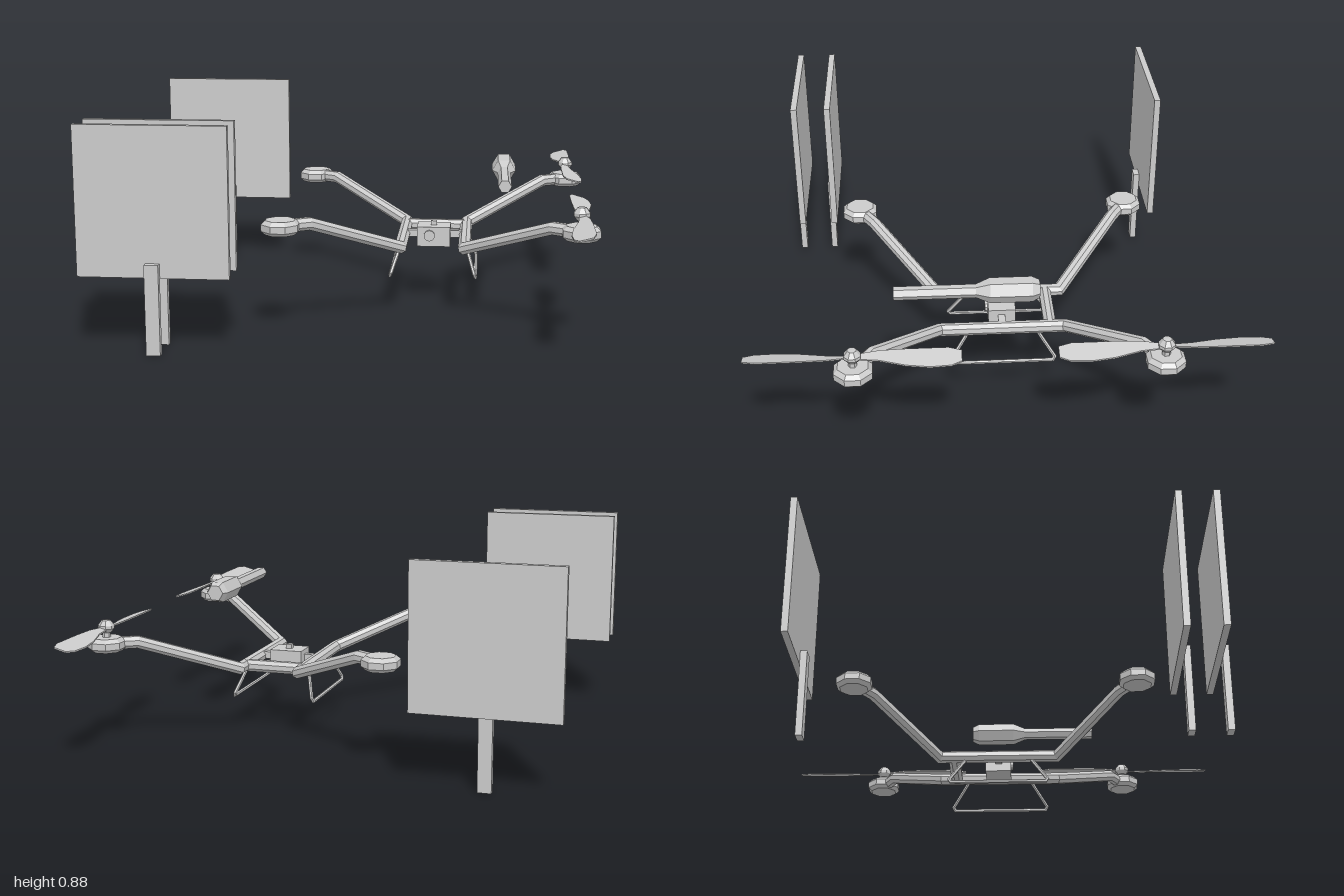
import * as THREE from 'three';

const material = new THREE.MeshStandardMaterial({ color: 0xcccccc, flatShading: true, side: THREE.DoubleSide });

function add(parent, name, geometry, x = 0, y = 0, z = 0) {
  const mesh = new THREE.Mesh(geometry, material);
  mesh.name = name;
  mesh.position.set(x, y, z);
  parent.add(mesh);
  return mesh;
}

const box = (w, h, d) => new THREE.BoxGeometry(w, h, d);

// Sweep a regular polygon along straight segments, with mitred corners
function sweep(points, radius, sides) {
  const path = points.map(p => new THREE.Vector3(...p));
  const dirs = path.slice(1).map((p, i) => p.clone().sub(path[i]).normalize());
  const u = new THREE.Vector3(0, 1, 0).cross(dirs[0]).normalize();
  const v = dirs[0].clone().cross(u);
  let ring = [];
  for (let k = 0; k < sides; k++) {
    const a = (k + 0.5) / sides * Math.PI * 2;
    ring.push(path[0].clone().addScaledVector(u, radius * Math.cos(a)).addScaledVector(v, radius * Math.sin(a)));
  }
  const positions = [], index = [];
  path.forEach((p, i) => {
    if (i > 0) {
      // slide the ring forward onto the bisecting plane of the corner
      const d = dirs[i - 1];
      const n = d.clone().add(dirs[i] ?? d).normalize();
      ring = ring.map(q => q.clone().addScaledVector(d, p.clone().sub(q).dot(n) / d.dot(n)));
    }
    ring.forEach(q => positions.push(q.x, q.y, q.z));
  });
  for (let i = 0; i < path.length - 1; i++) {
    for (let k = 0; k < sides; k++) {
      const a = i * sides + k, b = i * sides + (k + 1) % sides;
      index.push(a, b, a + sides, b, b + sides, a + sides);
    }
  }
  const last = (path.length - 1) * sides;
  for (let k = 1; k < sides - 1; k++) {
    index.push(0, k + 1, k, last, last + k, last + k + 1);
  }
  const geometry = new THREE.BufferGeometry();
  geometry.setAttribute('position', new THREE.Float32BufferAttribute(positions, 3));
  geometry.setIndex(index);
  geometry.computeVertexNormals();
  return geometry;
}

function lathe(profile, sides, phase = 0) {
  return new THREE.LatheGeometry(profile.map(p => new THREE.Vector2(...p)), sides, phase);
}

// Thin blade pointing to -z, its trailing edge bulging to -side and dipping
function bladeGeometry(side) {
  const outline = [
    [0.012, 0.02], [0.025, 0.1], [0.028, 0.2], [0.028, 0.36], [0.014, 0.41],
    [-0.035, 0.41], [-0.053, 0.37], [-0.057, 0.29], [-0.046, 0.2], [-0.02, 0.1], [-0.012, 0.02],
  ];
  const shape = new THREE.Shape(outline.map(([x, y]) => new THREE.Vector2(x * side, y)));
  const geometry = new THREE.ExtrudeGeometry(shape, { depth: 0.006, bevelEnabled: false });
  geometry.rotateX(-Math.PI / 2);
  const pos = geometry.attributes.position;
  for (let i = 0; i < pos.count; i++) {
    pos.setY(i, pos.getY(i) - 0.28 * (0.028 - pos.getX(i) * side));
  }
  geometry.computeVertexNormals();
  return geometry;
}

function createPropeller(side) {
  const group = new THREE.Group();
  group.name = 'propeller';
  add(group, 'propellerShaft', new THREE.CylinderGeometry(0.017, 0.017, 0.05, 6), 0, -0.03, 0);
  add(group, 'propellerHub', lathe([[0, -0.024], [0.02, -0.022], [0.034, -0.005], [0.034, 0.008], [0.018, 0.029], [0, 0.031]], 8, Math.PI / 8));
  for (const turn of [0, Math.PI]) {
    add(group, 'propellerBlade', bladeGeometry(side)).rotation.y = turn;
  }
  return group;
}

function createDrone() {
  const drone = new THREE.Group();
  drone.name = 'drone';
  const podX = 0.588, podZ = 0.592;

  for (const s of [-1, 1]) {
    // Side rail with its two raised arms, in one bent tube
    const half = [[0.133, 0.295, 0.26], [0.48, 0.445, 0.525], [podX, 0.445, podZ]];
    const front = half.map(([x, y, z]) => [s * x, y, z]);
    const back = half.map(([x, y, z]) => [s * x, y, -z]).reverse();
    add(drone, 'railAndArms', sweep([...back, ...front], 0.027, 8));

    // Landing skid
    add(drone, 'landingSkid', sweep([
      [s * 0.137, 0.285, -0.14], [s * 0.175, 0.172, -0.215], [s * 0.18, 0.158, -0.207],
      [s * 0.18, 0.158, 0.207], [s * 0.175, 0.172, 0.215], [s * 0.137, 0.285, 0.14],
    ], 0.008, 6));

    // Motor pods
    for (const t of [-1, 1]) {
      add(drone, 'motorPod', lathe([
        [0, 0.415], [0.062, 0.415], [0.079, 0.43], [0.079, 0.457], [0.062, 0.473], [0, 0.473],
      ], 8, Math.PI / 8), s * podX, 0, t * podZ);
    }
  }

  // Propellers remain on the left arms only
  for (const t of [-1, 1]) {
    const propeller = createPropeller(-t);
    propeller.position.set(podX, 0.515, t * podZ);
    drone.add(propeller);
  }

  // Rear crossbar
  add(drone, 'crossbar', sweep([[-0.133, 0.295, -0.197], [0.133, 0.295, -0.197]], 0.027, 8));

  // Camera hung between the rails
  add(drone, 'cameraBody', box(0.143, 0.085, 0.113), -0.003, 0.294, -0.003);
  add(drone, 'cameraButton', box(0.026, 0.02, 0.026), -0.003, 0.346, -0.003);
  add(drone, 'cameraAxle', box(0.25, 0.03, 0.03), 0, 0.3, 0);
  add(drone, 'cameraLens', new THREE.CylinderGeometry(0.024, 0.024, 0.02, 10).rotateX(Math.PI / 2), -0.021, 0.3, 0.055);
  return drone;
}

function createSign(z) {
  const sign = new THREE.Group();
  sign.name = 'signBoard';
  add(sign, 'signPanel', box(0.588, 0.585, 0.027), -0.704, 0.59, 0);
  add(sign, 'signPost', box(0.055, 0.355, 0.027), -0.704, 0.1775, 0.027);
  sign.position.z = z;
  return sign;
}

export function createModel() {
  const model = new THREE.Group();
  model.name = 'droneWithSigns';

  const drone = createDrone();
  drone.position.x = 0.33;
  model.add(drone);

  for (const z of [-0.75, 0.722, 0.868]) model.add(createSign(z));

  // Floating hexagonal baton: slim handle towards the front, thick head behind
  const baton = lathe([
    [0, -0.135], [0.036, -0.135], [0.05, -0.105], [0.05, 0.06], [0.027, 0.115], [0.027, 0.437], [0, 0.437],
  ], 6, Math.PI / 2).rotateX(Math.PI / 2);
  add(model, 'baton', baton, 0.623, 0.591, 0);
  return model;
}
